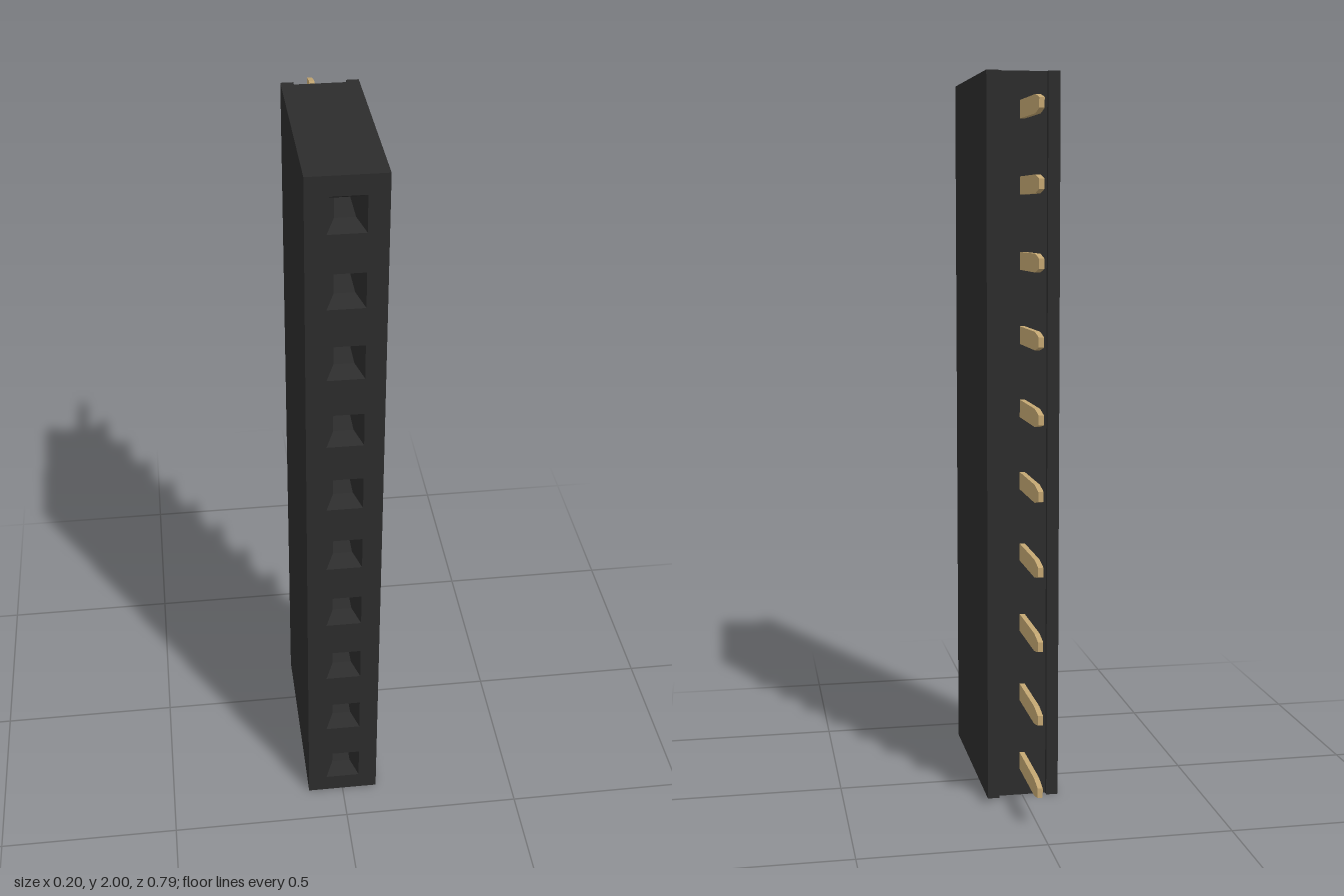
import * as THREE from 'three';

const COUNT = 10, PITCH = 0.2, HALF_W = 0.1, HEIGHT = 2;
const BACK = -0.155, CHANNEL = -0.14, FLOOR = -0.11, THROAT = 0.355, FRONT = 0.395;
const MOUTH = 0.048, HOLE = 0.026; // half sizes of the socket opening and its shaft

const plastic = new THREE.MeshStandardMaterial({ color: 0x2c2c2c });
plastic.name = 'black plastic';
const brass = new THREE.MeshStandardMaterial({ color: 0xc4a772 });
brass.name = 'brass';

// Closed or open skin through rectangular sections [halfX, halfY, z], listed from back to front
function loft(sections, { capped = true, inward = false } = {}) {
  const pos = [];
  const corners = ([a, b, z]) => [[-a, -b, z], [a, -b, z], [a, b, z], [-a, b, z]];
  const quad = (a, b, c, d) => {
    const order = inward ? [a, c, b, a, d, c] : [a, b, c, a, c, d];
    order.forEach((p) => pos.push(...p));
  };
  const rings = sections.map(corners);
  for (let r = 0; r < rings.length - 1; r++) {
    for (let i = 0; i < 4; i++) {
      const j = (i + 1) % 4;
      quad(rings[r][i], rings[r][j], rings[r + 1][j], rings[r + 1][i]);
    }
  }
  if (capped) {
    const [a, b, c, d] = rings[0];
    quad(d, c, b, a);
    quad(...rings[rings.length - 1]);
  }
  const g = new THREE.BufferGeometry();
  g.setAttribute('position', new THREE.Float32BufferAttribute(pos, 3));
  g.computeVertexNormals();
  return g;
}

// Slab of the housing pierced by a column of square holes
function piercedSlab(holeHalf, z0, z1) {
  const shape = new THREE.Shape([
    new THREE.Vector2(-HALF_W, 0), new THREE.Vector2(HALF_W, 0),
    new THREE.Vector2(HALF_W, HEIGHT), new THREE.Vector2(-HALF_W, HEIGHT),
  ]);
  for (let i = 0; i < COUNT; i++) {
    const y = PITCH * (i + 0.5), h = holeHalf;
    shape.holes.push(new THREE.Path([
      new THREE.Vector2(-h, y - h), new THREE.Vector2(-h, y + h),
      new THREE.Vector2(h, y + h), new THREE.Vector2(h, y - h),
    ]));
  }
  return new THREE.ExtrudeGeometry(shape, { depth: z1 - z0, bevelEnabled: false }).translate(0, 0, z0);
}

export function createModel() {
  const model = new THREE.Group();
  model.name = 'pinSocketStrip';
  const add = (name, geometry, material, x = 0, y = 0, z = 0) => {
    const mesh = new THREE.Mesh(geometry, material);
    mesh.name = name;
    mesh.position.set(x, y, z);
    model.add(mesh);
  };

  // Housing: front slab with wide mouths, body with narrow shafts, solid back wall
  add('housingFront', piercedSlab(MOUTH, THROAT, FRONT), plastic);
  add('housingBody', piercedSlab(HOLE, FLOOR, THROAT), plastic);
  add('housingBack', new THREE.BoxGeometry(HALF_W * 2, HEIGHT, FLOOR - CHANNEL), plastic,
    0, HEIGHT / 2, (FLOOR + CHANNEL) / 2);

  // Rails on both sides of the rear channel
  const railW = 0.033;
  const rail = new THREE.BoxGeometry(railW, HEIGHT, CHANNEL - BACK);
  for (const side of [1, -1]) {
    add(side > 0 ? 'leftRail' : 'rightRail', rail, plastic,
      side * (HALF_W - railW / 2), HEIGHT / 2, (BACK + CHANNEL) / 2);
  }

  // Tapered socket mouths and flat pins with narrowed tips
  const funnel = loft([[HOLE, HOLE, THROAT], [MOUTH, MOUTH, FRONT]], { capped: false, inward: true });
  const pin = loft([
    [0.007, 0.013, -0.395], [0.007, 0.018, -0.375], [0.007, 0.024, -0.345],
    [0.007, 0.024, CHANNEL], [0.007, 0.021, FLOOR], [0.007, 0.021, 0],
  ]);
  for (let i = 0; i < COUNT; i++) {
    const y = PITCH * (i + 0.5);
    add(`socketMouth${i + 1}`, funnel, plastic, 0, y);
    add(`pin${i + 1}`, pin, brass, 0, y);
  }
  return model;
}
